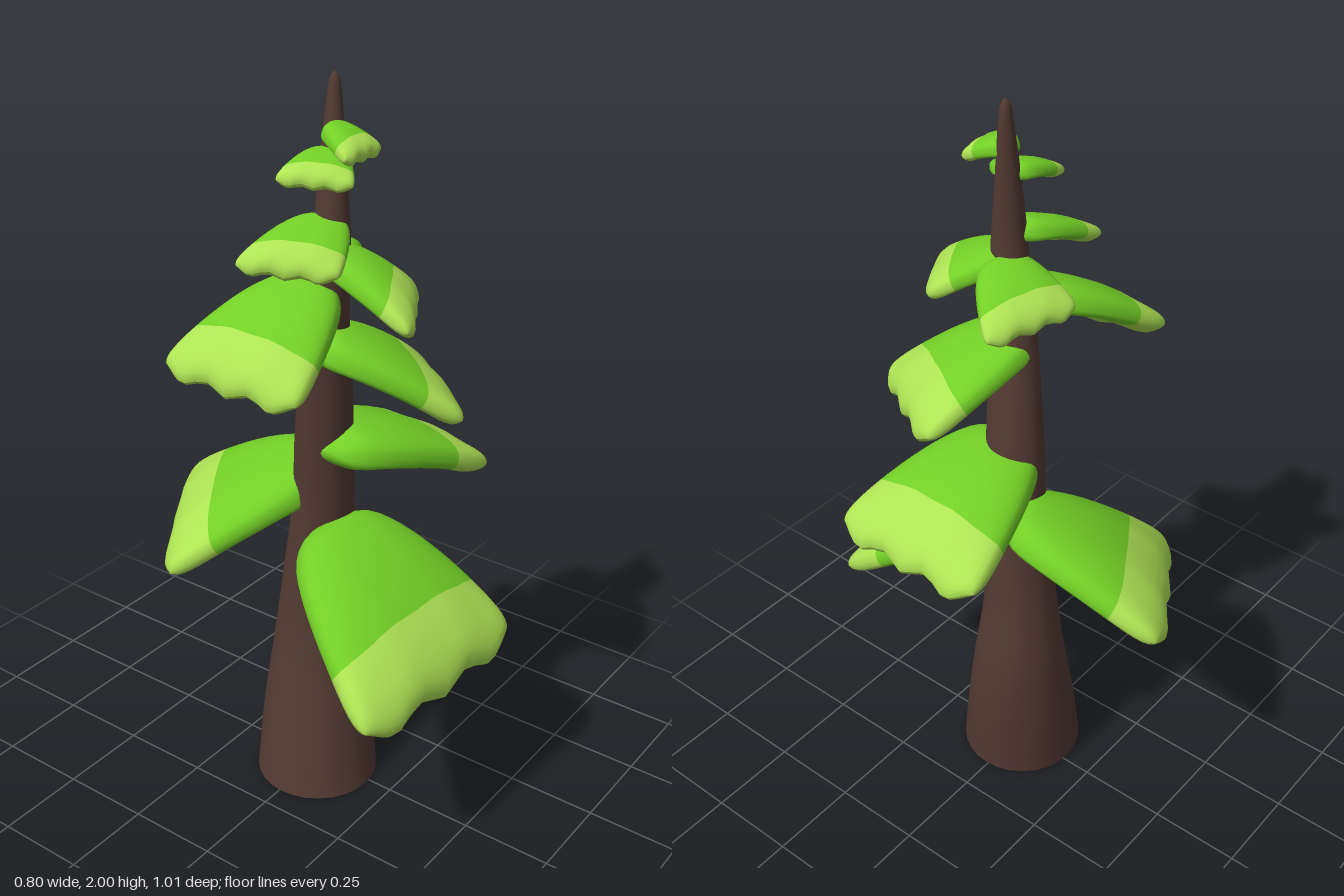
import * as THREE from 'three';
import { mergeVertices } from 'three/addons/utils/BufferGeometryUtils.js';

const mat = (name, color) => {
  const m = new THREE.MeshStandardMaterial({ color });
  m.name = name;
  return m;
};
const V = (a) => new THREE.Vector3(...a);
const signedPow = (x, e) => Math.sign(x) * Math.pow(Math.abs(x), e);

// Leaning trunk, open at the foot: a lathe whose rings are shifted sideways along a curved axis
function makeTrunk(bark) {
  // y, centre x, centre z, radius
  const rings = [
    [0, -0.016, 0.007, 0.17], [0.2, 0.01, -0.011, 0.152], [0.4, 0.03, -0.022, 0.126],
    [0.6, 0.026, -0.02, 0.099], [0.85, 0.02, 0, 0.083], [1.05, 0.004, 0.014, 0.077],
    [1.2, -0.013, 0.03, 0.07], [1.4, -0.043, 0.055, 0.057], [1.6, -0.058, 0.08, 0.047],
    [1.8, -0.043, 0.072, 0.031], [1.94, -0.028, 0.065, 0.018], [1.985, -0.026, 0.064, 0.011], [2, -0.026, 0.064, 0],
  ];
  const axis = new THREE.CatmullRomCurve3(rings.map(([y, x, z]) => new THREE.Vector3(x, y, z)));
  const radii = new THREE.CatmullRomCurve3(rings.map(([y, , , r]) => new THREE.Vector3(r, y, 0)));
  const n = 48, profile = [], centres = [];
  for (let i = 0; i <= n; i++) {
    const c = axis.getPoint(i / n);
    centres.push(c);
    profile.push(new THREE.Vector2(Math.max(0, radii.getPoint(i / n).x), c.y));
  }
  let geo = new THREE.LatheGeometry(profile, 28);
  const p = geo.attributes.position;
  for (let i = 0; i < p.count; i++) {
    const c = centres[i % (n + 1)];
    p.setXYZ(i, p.getX(i) + c.x, p.getY(i), p.getZ(i) + c.z);
  }
  geo.deleteAttribute('uv');
  geo.deleteAttribute('normal');
  geo = mergeVertices(geo, 1e-5);
  geo.computeVertexNormals();
  const trunk = new THREE.Mesh(geo, bark);
  trunk.name = 'trunk';
  return trunk;
}

// Padded bough: thick rounded sections fanning out from a root to a wavy edge between two corners
function makeBough(root, cornerA, cornerB, materials) {
  const R = V(root), A = V(cornerA), B = V(cornerB);
  const along = A.clone().add(B).multiplyScalar(0.5).sub(R);
  const len = along.length();
  const side = B.clone().sub(A).multiplyScalar(0.5);
  const normal = along.clone().cross(side).normalize();
  const thick = 0.012 + 0.083 * len, arch = 0.1 * len;
  const NU = 21, M = 36, SPLIT = 13, pos = [], index = [];
  for (let i = 0; i <= NU; i++) {
    const u = (1 - Math.cos((Math.PI * i) / NU)) / 2;
    const w = Math.pow(u, 0.34) * (1 - 0.07 * Math.pow(u, 14));
    const h = thick * Math.sqrt(Math.max(0, 1 - Math.pow(u, 14))) * Math.min(1, Math.sqrt(u / 0.1));
    for (let j = 0; j < M; j++) {
      const th = (2 * Math.PI * j) / M;
      const v = signedPow(Math.cos(th), 0.7), s = signedPow(Math.sin(th), 0.7);
      // scalloped outer edge that dips where it reaches furthest
      const wave = Math.pow(u, 5) * 0.022 * Math.cos(v * 9.5);
      const corner = 0.035 * Math.pow(u, 5) * Math.pow(v, 8);
      const q = R.clone()
        .addScaledVector(along, u + wave - corner)
        .addScaledVector(side, v * w)
        .addScaledVector(normal, h * s - wave * len * 0.9);
      q.y += arch * 4 * u * (1 - u) * (1 - 0.6 * v * v);
      pos.push(q.x, q.y, q.z);
    }
  }
  for (let i = 0; i < NU; i++) {
    for (let j = 0; j < M; j++) {
      const k = (j + 1) % M;
      const a = i * M + j, b = i * M + k, c = (i + 1) * M + k, d = (i + 1) * M + j;
      index.push(a, b, c, a, c, d);
    }
  }
  const geo = new THREE.BufferGeometry();
  geo.setAttribute('position', new THREE.Float32BufferAttribute(pos, 3));
  geo.setIndex(index);
  geo.computeVertexNormals();
  // inner foliage, then the pale outer band
  geo.addGroup(0, SPLIT * M * 6, 0);
  geo.addGroup(SPLIT * M * 6, (NU - SPLIT) * M * 6, 1);
  return new THREE.Mesh(geo, materials);
}

export function createModel() {
  const bark = mat('bark brown', 0x523932);
  bark.side = THREE.DoubleSide;
  const foliage = [mat('leaf green', 0x73cf26), mat('pale leaf green', 0xaee354)];
  const model = new THREE.Group();
  model.name = 'tree';
  model.add(makeTrunk(bark));

  // root, then the two outer corners, from the lowest bough to the highest
  const boughs = [
    [[-0.02, 0.795, 0.03], [-0.42, 0.49, 0.45], [0.21, 0.51, 0.505]],
    [[0.09, 0.915, -0.03], [0.1, 0.725, -0.54], [-0.34, 0.66, -0.265]],
    [[-0.06, 1.04, 0.06], [0.385, 0.885, 0.315], [0.4, 0.885, -0.17]],
    [[-0.11, 1.355, 0.05], [0.065, 1.155, 0.415], [0.285, 1.19, 0.075]],
    [[-0.08, 1.575, 0.07], [-0.14, 1.445, 0.37], [0.095, 1.465, 0.23]],
    [[-0.05, 1.485, 0.03], [-0.39, 1.315, -0.195], [-0.355, 1.285, 0.2]],
    [[-0.03, 1.57, 0.1], [0.18, 1.468, -0.04], [-0.07, 1.49, -0.13]],
    [[-0.05, 1.65, 0.06], [-0.295, 1.575, -0.04], [-0.185, 1.56, 0.195]],
    [[-0.04, 1.81, 0.06], [-0.2, 1.768, 0.015], [-0.115, 1.76, 0.185]],
    [[-0.05, 1.87, 0.06], [-0.142, 1.825, 0.18], [0.002, 1.825, 0.185]],
  ];
  boughs.forEach(([root, a, b], i) => {
    const bough = makeBough(root, a, b, foliage);
    bough.name = `bough${i + 1}`;
    model.add(bough);
  });
  return model;
}
